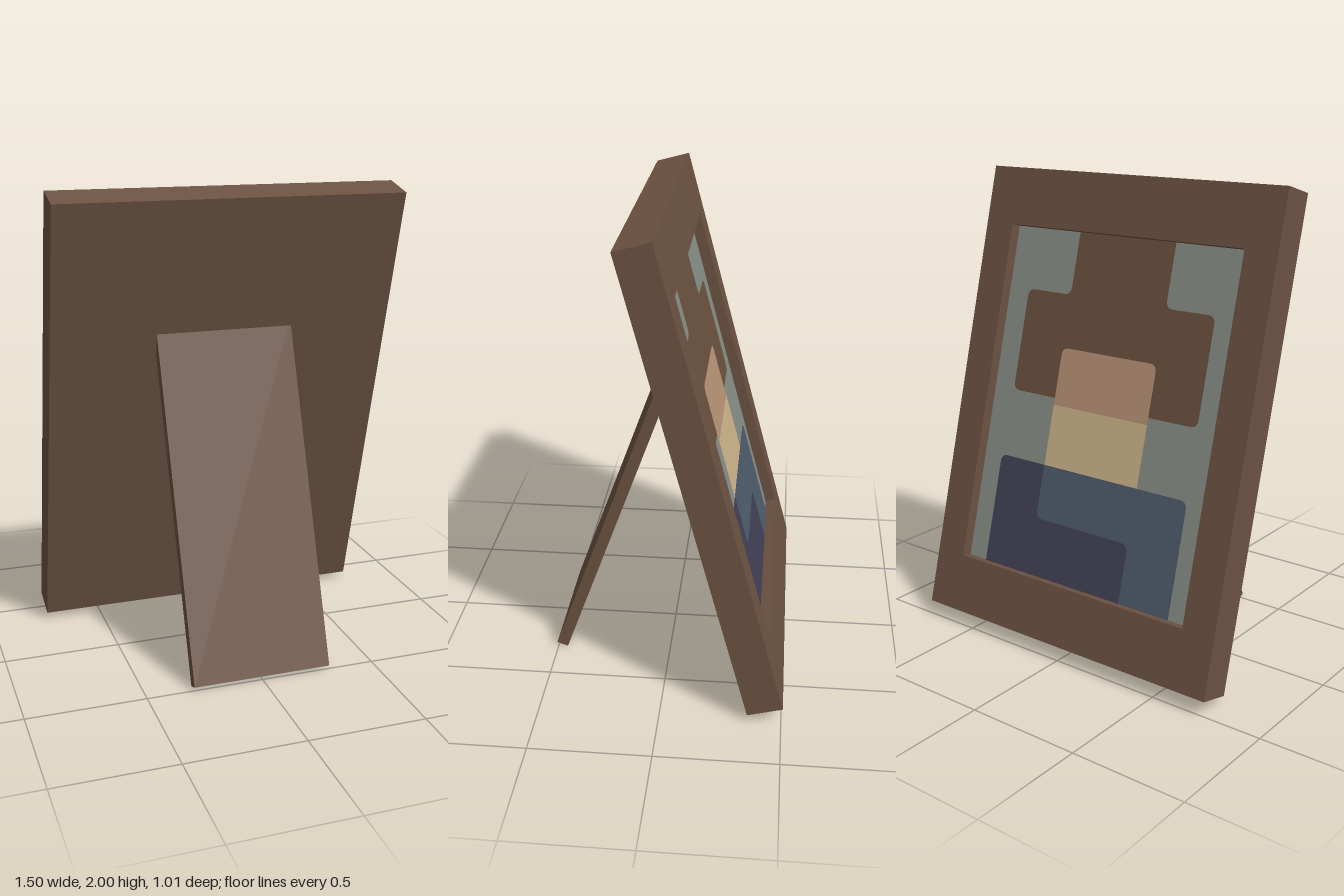
import * as THREE from 'three';

const mat = (name, color, side = THREE.FrontSide) => {
  const m = new THREE.MeshStandardMaterial({ color, side });
  m.name = name;
  return m;
};

function addMesh(parent, name, geometry, material, x = 0, y = 0, z = 0) {
  const m = new THREE.Mesh(geometry, material);
  m.name = name;
  m.position.set(x, y, z);
  parent.add(m);
  return m;
}

// Closed outline from [x, y, cornerRadius] points
function outline(points) {
  const s = new THREE.Shape();
  const n = points.length;
  points.forEach(([x, y, r = 0], i) => {
    const p = new THREE.Vector2(x, y);
    const toward = (q) => new THREE.Vector2(q[0], q[1]).sub(p).normalize().multiplyScalar(r).add(p);
    const a = toward(points[(i + n - 1) % n]);
    const b = toward(points[(i + 1) % n]);
    if (i === 0) s.moveTo(a.x, a.y);
    else s.lineTo(a.x, a.y);
    if (r > 0) s.quadraticCurveTo(x, y, b.x, b.y);
  });
  s.closePath();
  return s;
}

const rect = (w, h) => [[-w / 2, -h / 2], [w / 2, -h / 2], [w / 2, h / 2], [-w / 2, h / 2]];

export function createModel() {
  const model = new THREE.Group();
  model.name = 'pictureFrame';
  const wood = mat('brown wood', 0x6c5242);
  const grey = mat('grey backdrop', 0x878e86);
  const hair = mat('picture brown', 0x6b513f);
  const skin = mat('picture tan', 0xba9378);
  const sand = mat('picture sand', 0xcdb489);
  const blue = mat('picture slate blue', 0x4d5c6c);
  const navy = mat('picture navy', 0x414156);

  // Leaning frame, picture side turned to the back
  const frame = new THREE.Group();
  frame.name = 'frame';
  frame.position.set(0, 1.0146, -0.175);
  frame.rotation.set(-Math.PI / 12, Math.PI, 0, 'YXZ');
  model.add(frame);

  const border = outline(rect(1.5, 2));
  border.holes.push(outline(rect(1.2, 1.5).reverse()));
  addMesh(frame, 'frameBorder',
    new THREE.ExtrudeGeometry(border, { depth: 0.05, bevelEnabled: false }), wood, 0, 0, 0.025);
  addMesh(frame, 'backPanel', new THREE.BoxGeometry(1.5, 2, 0.1), wood, 0, 0, -0.025);

  // Picture painted in thin layers, from back to front
  const r = 0.035;
  const layers = [
    ['pictureBackdrop', grey, rect(1.2, 1.5)],
    ['pictureBrownShape', hair, [
      [-0.49, 0.03, r], [0.49, 0.03, r], [0.49, 0.48, r], [0.25, 0.48, r],
      [0.25, 0.75], [-0.25, 0.75], [-0.25, 0.48, r], [-0.49, 0.48, r]]],
    ['pictureTanPatch', skin, [[-0.25, 0], [0.25, 0], [0.25, 0.25, r], [-0.25, 0.25, r]]],
    ['pictureSandPatch', sand, [[-0.25, -0.27], [0.25, -0.27], [0.25, 0], [-0.25, 0]]],
    ['pictureNavyBlock', navy, [[-0.5, -0.75], [0.5, -0.75], [0.5, -0.265, r], [-0.5, -0.265, r]]],
    ['pictureBlueBlock', blue, [
      [0.25, -0.75], [0.5, -0.75], [0.5, -0.265, r], [-0.25, -0.265],
      [-0.25, -0.5, r], [0.25, -0.5, r]]],
  ];
  layers.forEach(([name, material, points], i) =>
    addMesh(frame, name, new THREE.ShapeGeometry(outline(points), 6), material, 0, 0, 0.026 + i * 0.001));

  // Easel leg, its top sunk into the back panel
  const leg = addMesh(model, 'easelLeg', new THREE.BoxGeometry(0.6, 1.5, 0.05), wood, 0, 0.7134, 0.226);
  leg.rotation.x = -Math.PI / 9;

  return model;
}
